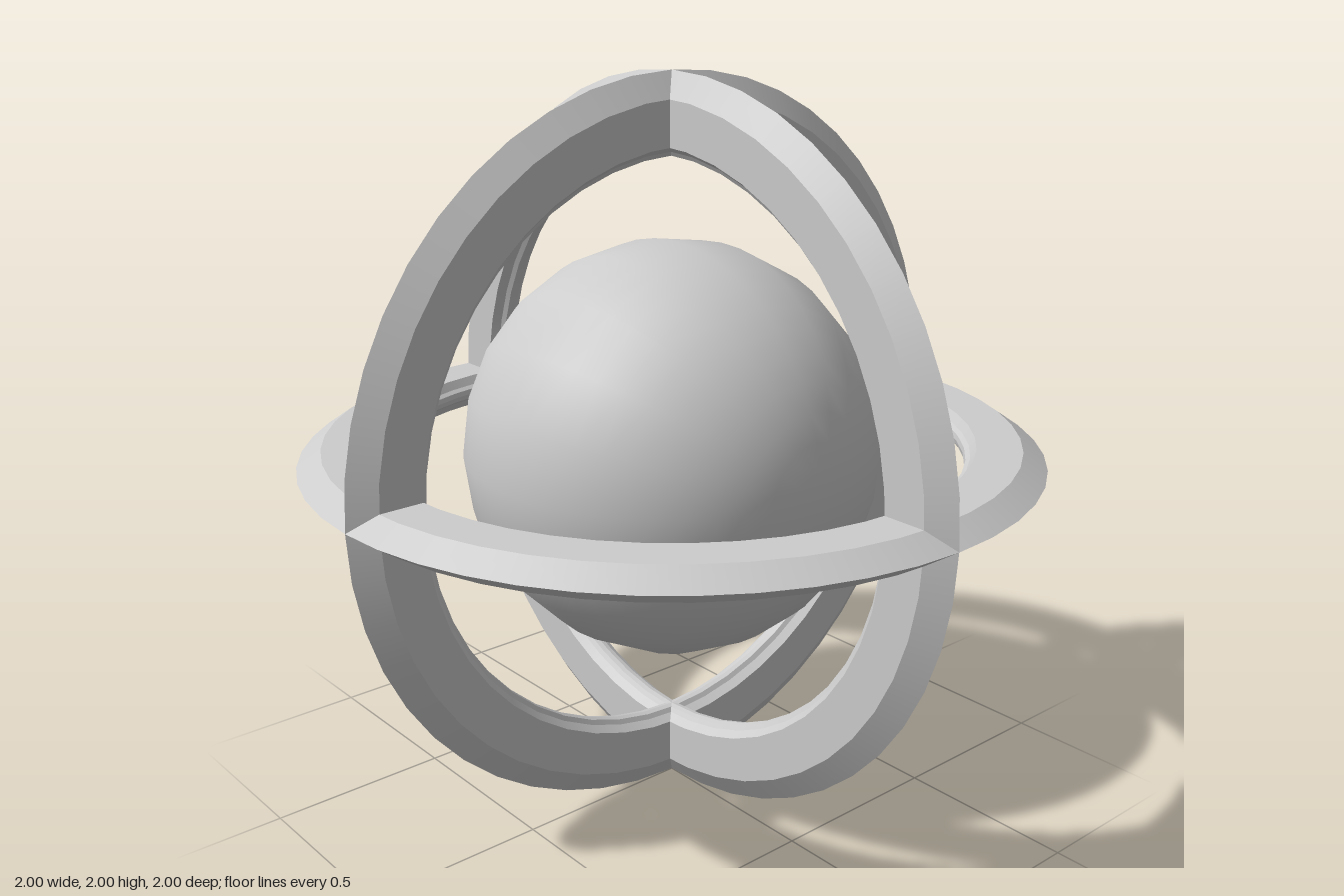
import * as THREE from 'three';
import { mergeGeometries } from 'three/addons/utils/BufferGeometryUtils.js';

// Lathe whose profile corners stay sharp while the sweep stays smooth
function sharpLathe(profile, segments) {
  const bands = [];
  for (let i = 0; i < profile.length - 1; i++) {
    const pair = [profile[i], profile[i + 1]].map(([r, y]) => new THREE.Vector2(r, y));
    bands.push(new THREE.LatheGeometry(pair, segments));
  }
  return mergeGeometries(bands);
}

export function createModel() {
  const model = new THREE.Group();
  model.name = 'ringedSphere';
  const grey = new THREE.MeshStandardMaterial({ color: 0xcccccc });
  grey.name = 'light grey';

  const add = (name, geometry) => {
    const mesh = new THREE.Mesh(geometry, grey);
    mesh.name = name;
    mesh.position.y = 1;
    model.add(mesh);
    return mesh;
  };

  // Core sphere with its poles along z
  const sphere = new THREE.SphereGeometry(0.565, 20, 24);
  sphere.rotateX(Math.PI / 2);
  add('coreSphere', sphere);

  // Three crossing rings: ridged outside, flat sides, narrow lip inside
  const ringProfile = [
    [0.785, 0], [0.788, -0.014], [0.8, -0.022], [0.815, -0.045],
    [0.935, -0.045], [1, 0], [0.935, 0.045],
    [0.815, 0.045], [0.8, 0.022], [0.788, 0.014], [0.785, 0],
  ];
  const ring = sharpLathe(ringProfile, 48);
  add('horizontalRing', ring);
  add('frontRing', ring).rotation.x = Math.PI / 2;
  add('sideRing', ring).rotation.z = Math.PI / 2;

  // Raised round collar on the back of the sphere
  const collarProfile = [
    [0.17, 0.525], [0.17, 0.558], [0.16, 0.568], [0.137, 0.568], [0.128, 0.54],
  ];
  const collar = sharpLathe(collarProfile, 32);
  collar.rotateX(-Math.PI / 2);
  add('backCollar', collar);

  return model;
}
